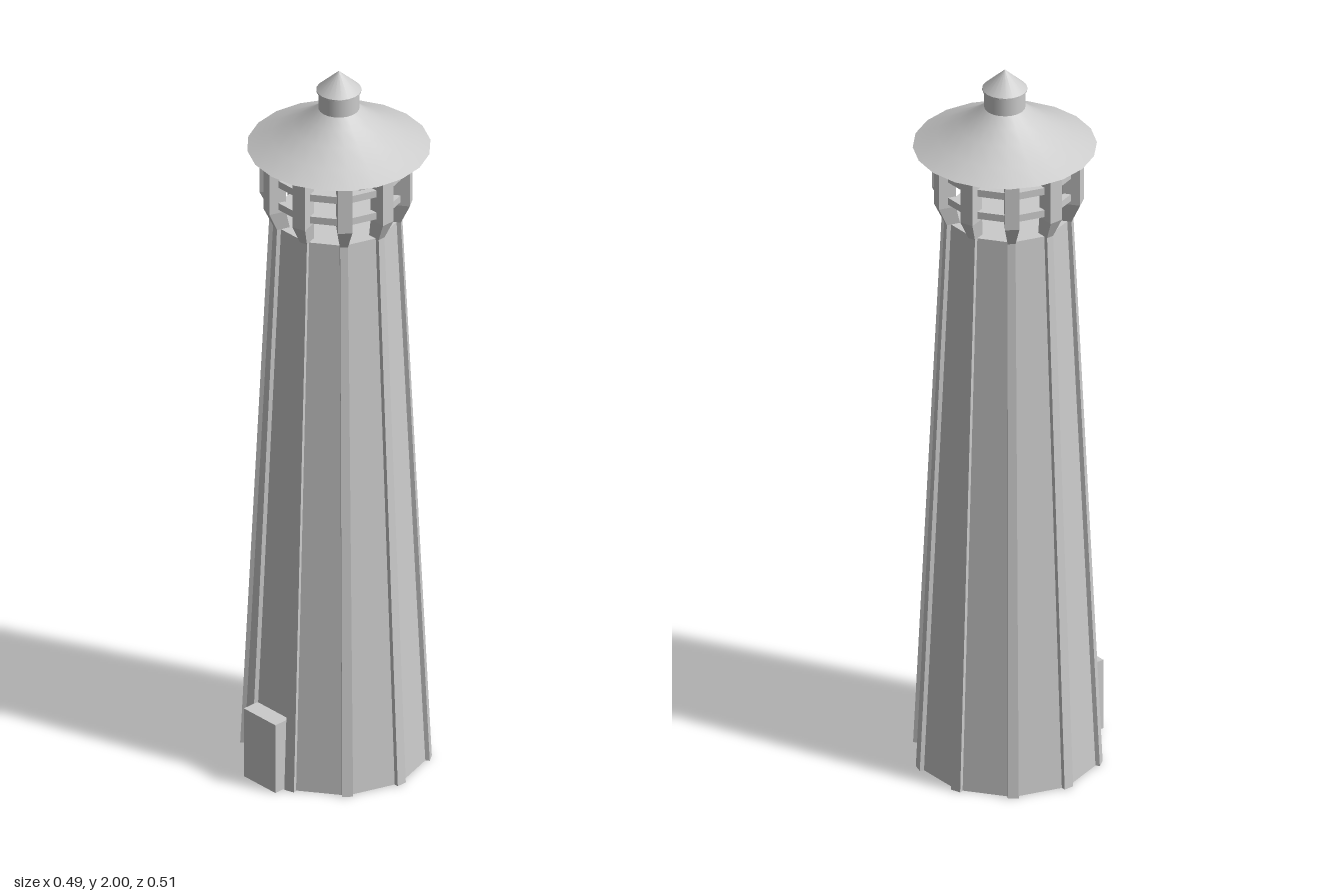
import * as THREE from 'three';

const SIDES = 10;
const flat = new THREE.MeshStandardMaterial({ color: 0xcccccc, flatShading: true });
const smooth = new THREE.MeshStandardMaterial({ color: 0xcccccc });

function add(parent, name, geometry, material = flat) {
  const mesh = new THREE.Mesh(geometry, material);
  mesh.name = name;
  parent.add(mesh);
  return mesh;
}

// Solid through rectangular sections [y, inner x, outer x, width], bottom to top
function loft(sections) {
  const pos = [];
  const index = [];
  for (const [y, a, b, w] of sections) {
    pos.push(a, y, w / 2, b, y, w / 2, b, y, -w / 2, a, y, -w / 2);
  }
  for (let s = 0; s < sections.length - 1; s++) {
    for (let i = 0; i < 4; i++) {
      const p = s * 4 + i, q = s * 4 + (i + 1) % 4;
      index.push(p, q, q + 4, p, q + 4, p + 4);
    }
  }
  const t = (sections.length - 1) * 4;
  index.push(0, 2, 1, 0, 3, 2, t, t + 1, t + 2, t, t + 2, t + 3);
  const indexed = new THREE.BufferGeometry();
  indexed.setAttribute('position', new THREE.Float32BufferAttribute(pos, 3));
  indexed.setIndex(index);
  const g = indexed.toNonIndexed();
  g.computeVertexNormals();
  return g;
}

function lathe(points) {
  return new THREE.LatheGeometry(points.map(([r, y]) => new THREE.Vector2(r, y)), 20);
}

export function createModel() {
  const model = new THREE.Group();
  model.name = 'lighthouse';

  // Tapered ten-sided tower with corners on the x axis
  const body = new THREE.Group();
  body.name = 'body';
  body.position.z = -0.011;
  model.add(body);
  const tower = add(body, 'tower',
    new THREE.CylinderGeometry(0.163, 0.24, 1.58, SIDES, 1, false, Math.PI / 2));
  tower.position.y = 0.79;

  // Corner ribs flaring into brackets and lantern posts
  const rib = loft([[0, 0.2, 0.247, 0.028], [1.58, 0.135, 0.171, 0.02]]);
  const post = loft([[1.58, 0.135, 0.171, 0.02], [1.635, 0.15, 0.196, 0.037], [1.78, 0.15, 0.196, 0.037]]);
  const railR = 0.168;
  const railLength = 2 * railR * Math.sin(Math.PI / SIDES);
  const rail = new THREE.BoxGeometry(0.018, 0.02, railLength);
  rail.translate(railR * Math.cos(Math.PI / SIDES), 0, 0);
  for (let i = 0; i < SIDES; i++) {
    const angle = (i / SIDES) * Math.PI * 2;
    add(body, 'cornerRib', rib).rotation.y = angle;
    add(body, 'lanternPost', post).rotation.y = angle;
    // Two rails between neighbouring posts
    for (const y of [1.655, 1.72]) {
      const bar = add(body, 'lanternRail', rail);
      bar.rotation.y = angle + Math.PI / SIDES;
      bar.position.y = y;
    }
  }

  // Entrance block
  const door = add(model, 'door', new THREE.BoxGeometry(0.118, 0.2, 0.076));
  door.position.set(0, 0.1, 0.218);

  // Roof with a concave slope, flat underside and finial
  const roof = new THREE.Group();
  roof.name = 'roof';
  roof.position.z = -0.021;
  model.add(roof);
  add(roof, 'roofUnderside', lathe([[0, 1.78], [0.236, 1.78]]));
  add(roof, 'roofSlope', lathe([[0.236, 1.78], [0.175, 1.808], [0.12, 1.84], [0.08, 1.868], [0.053, 1.892]]), smooth);
  add(roof, 'finialNeck', lathe([[0.053, 1.885], [0.053, 1.942]]), smooth);
  add(roof, 'finialRim', lathe([[0.053, 1.942], [0.058, 1.942], [0.058, 1.946]]));
  add(roof, 'finialTip', lathe([[0.058, 1.946], [0, 2]]), smooth);

  return model;
}
